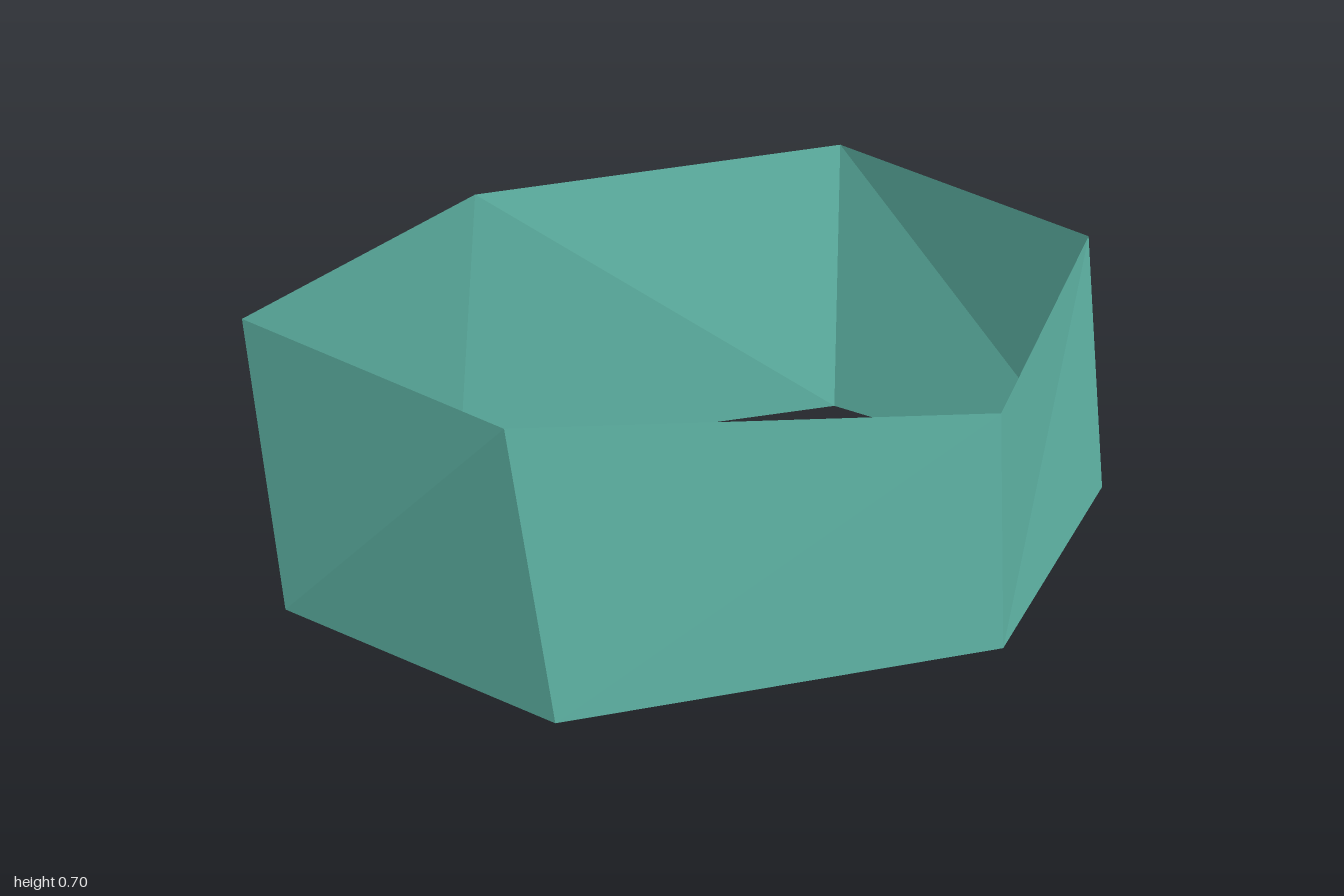
import * as THREE from 'three';

// Corner positions of the open six-sided band, counterclockwise seen from above
const bottomRing = [
  [-0.98, 0, 0.035], [-0.49, 0, 0.608], [0.503, 0, 0.608],
  [1.0, 0, 0.037], [0.503, 0, -0.533], [-0.485, 0, -0.533],
];
const topRing = [
  [-1.0, 0.688, -0.043], [-0.563, 0.697, 0.59], [0.46, 0.585, 0.602],
  [0.922, 0.662, -0.003], [0.523, 0.698, -0.608], [-0.412, 0.705, -0.527],
];

// One flat wall panel between two neighbouring corners
function panelGeometry(i) {
  const j = (i + 1) % bottomRing.length;
  const a = bottomRing[i], b = bottomRing[j], c = topRing[j], d = topRing[i];
  const geometry = new THREE.BufferGeometry();
  geometry.setAttribute('position', new THREE.Float32BufferAttribute([a, b, c, a, c, d].flat(), 3));
  geometry.computeVertexNormals();
  return geometry;
}

export function createModel() {
  const group = new THREE.Group();
  group.name = 'hexagonalBand';
  const teal = new THREE.MeshStandardMaterial({ color: 0x5fb5a6, side: THREE.DoubleSide, flatShading: true });
  teal.name = 'teal';

  // Walls, starting at the front right and going round
  const names = ['frontRightWall', 'frontWall', 'frontLeftWall', 'backLeftWall', 'backWall', 'backRightWall'];
  names.forEach((name, i) => {
    const wall = new THREE.Mesh(panelGeometry(i), teal);
    wall.name = name;
    group.add(wall);
  });
  return group;
}
